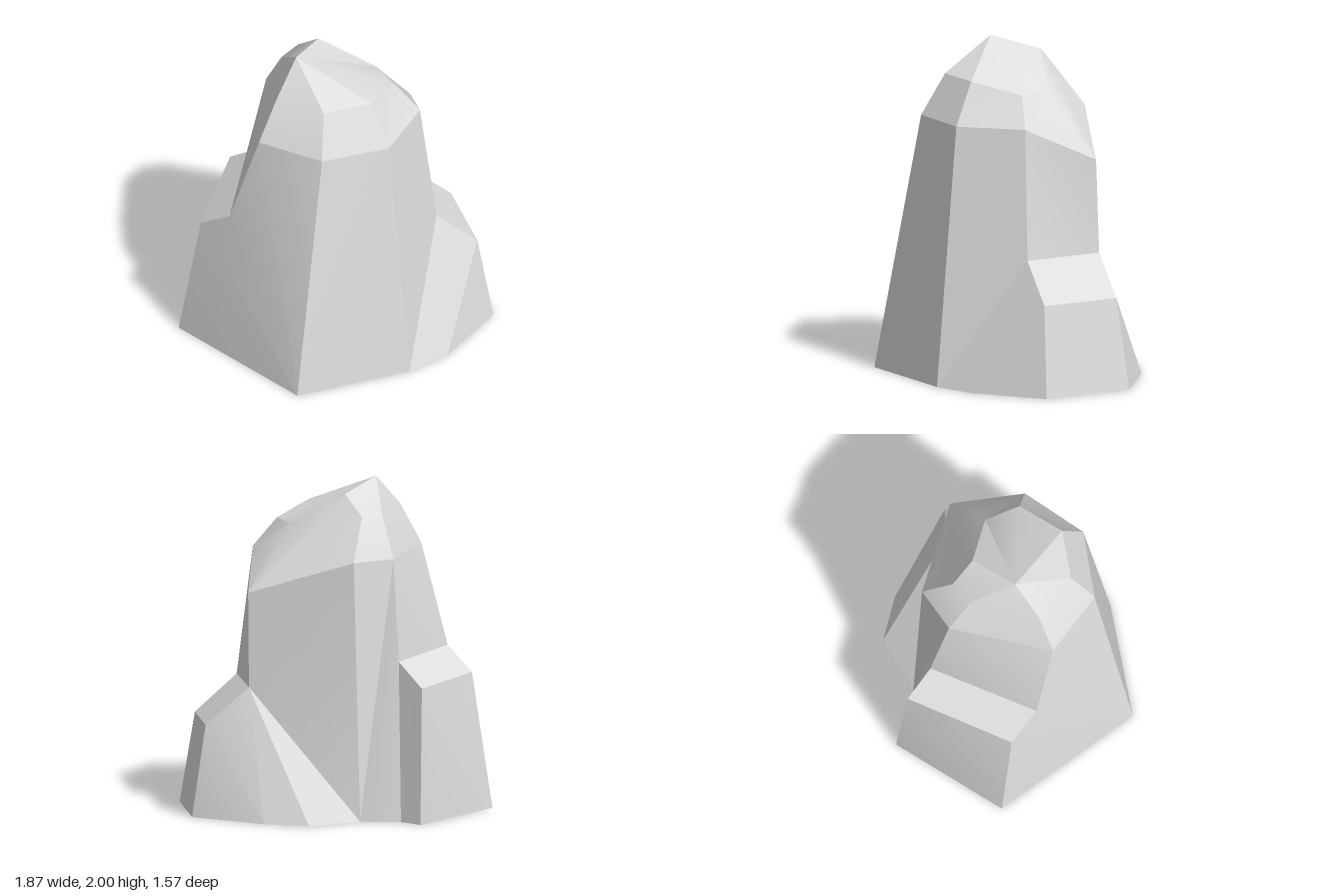
import * as THREE from 'three';
import { toCreasedNormals } from 'three/addons/utils/BufferGeometryUtils.js';

const stone = new THREE.MeshStandardMaterial({ color: 0xdedede, side: THREE.DoubleSide });
stone.name = 'pale stone';

// Named corners of the rock
const P = {
  // ground outline
  a0: [-0.18, 0, 0.78], b0: [0.475, 0, 0.49], c0: [0.69, 0, 0.31], f0: [0.935, 0, -0.11],
  i0: [0.715, 0, -0.64], j0: [0.23, 0, -0.78], k0: [-0.05, 0, -0.785], m0: [-0.3, 0, -0.54],
  n0: [-0.54, 0, -0.49], o0: [-0.68, 0, -0.56], l0: [-0.935, 0, 0.15],
  // left ledge
  d1: [0.6, 0.78, -0.04], e: [0.84, 0.55, -0.11], h: [0.65, 0.55, -0.57], g: [0.4, 0.78, -0.5],
  // right ledge
  r1: [-0.62, 0.955, 0.29], r2: [-0.5, 0.955, -0.39], r3: [-0.67, 0.815, -0.49], r4: [-0.8, 0.815, 0.18],
  // shoulder ring
  a1: [-0.05, 1.56, 0.515], b1: [0.34, 1.56, 0.355], d: [0.5, 1.56, -0.04], g1: [0.41, 1.35, -0.48],
  y1: [-0.25, 1.56, -0.5], x1: [-0.44, 1.56, -0.29], w1: [-0.44, 1.56, 0.35],
  // crown ring and peak
  a2: [-0.05, 1.81, 0.37], b2: [0.23, 1.81, 0.25], d2: [0.35, 1.74, -0.04], q: [0.22, 1.74, -0.22],
  s: [-0.12, 1.93, -0.22], u: [-0.25, 1.81, -0.31], v: [-0.34, 1.81, -0.18],
  w2: [-0.34, 1.81, 0.24], t: [-0.235, 2, 0.07],
};

// Builds facets as triangle fans, each turned to face away from the core
function facets(name, crease, list) {
  const core = new THREE.Vector3(0, 0.8, 0), pos = [];
  for (const face of list) {
    const pts = face.split(' ').map((k) => new THREE.Vector3(...P[k]));
    for (let i = 1; i < pts.length - 1; i++) {
      const tri = [pts[0], pts[i], pts[i + 1]];
      const n = tri[1].clone().sub(tri[0]).cross(tri[2].clone().sub(tri[0]));
      if (n.dot(tri[0].clone().sub(core)) < 0) tri.reverse();
      tri.forEach((c) => pos.push(c.x, c.y, c.z));
    }
  }
  const geo = new THREE.BufferGeometry();
  geo.setAttribute('position', new THREE.Float32BufferAttribute(pos, 3));
  const mesh = new THREE.Mesh(toCreasedNormals(geo, crease), stone);
  mesh.name = name;
  return mesh;
}

export function createModel() {
  const rock = new THREE.Group();
  rock.name = 'rock';
  rock.add(
    // tall faces of the main column, open underneath
    facets('column', 0.3, [
      'a0 a1 w1 r1 r4 l0', 'a0 b0 b1 a1', 'b0 d1 d b1', 'd d1 g g1',
      'y1 g1 g m0', 'm0 y1 x1 r2 n0', 'r1 w1 x1 r2',
    ]),
    // low outcrop on the left and its rear skirt
    facets('leftOutcrop', 0.3, [
      'b0 c0 e d1', 'c0 f0 e', 'd1 e h g', 'e f0 i0 h', 'h i0 j0', 'g h j0 k0', 'g k0 m0',
    ]),
    // low outcrop on the right
    facets('rightOutcrop', 0.3, ['r1 r2 r3 r4', 'r3 r4 l0 o0', 'r2 r3 o0 n0']),
    // softened crown
    facets('crown', 0.52, [
      'a1 b1 b2 a2', 'w1 a1 a2 w2', 'w1 w2 v x1', 'b1 d d2 b2', 'x1 v u y1',
      'd g1 q d2', 'g1 q s u y1', 't v u s', 't s q d2 b2 a2 w2 v',
    ]),
  );
  return rock;
}
